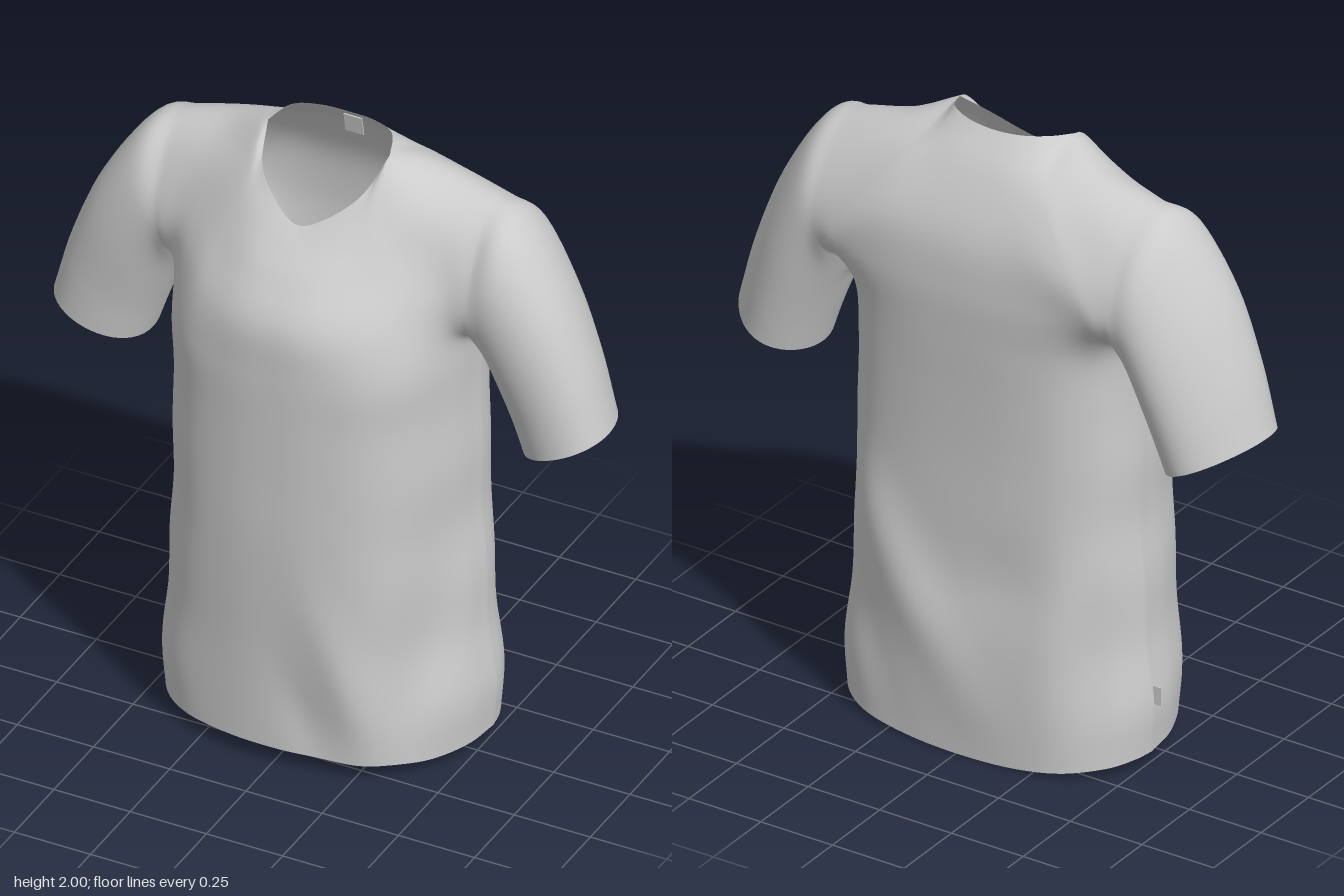
import * as THREE from 'three';
import { mergeVertices } from 'three/addons/utils/BufferGeometryUtils.js';

const V = (x, y, z) => new THREE.Vector3(x, y, z);
const STEP = 6; // subdivisions between neighbouring control points

// Smooth curve through the control points, sampled evenly
const spline = (pts) => new THREE.CatmullRomCurve3(pts, false, 'catmullrom', 0.5).getPoints((pts.length - 1) * STEP);

// Mirrors a half row (centre to side) into a full row running from -x to +x
const fullRow = (half) => [
  ...half.slice(1).reverse().map(([x, y, z]) => V(-x, y, z)),
  ...half.map((p) => V(...p)),
];

// Top row: the neckline meets the straight shoulder lines at a corner (fourth point from the centre)
const topRow = (row) => [
  ...spline(row.slice(0, 3)).slice(0, -1), ...spline(row.slice(2, 9)), ...spline(row.slice(8)).slice(1),
];

// Panel through half rows, ending at the neck and shoulder line; `over` is the row
// beyond the shoulder on the other panel, which rounds the shoulder off
function panel(halfRows, over) {
  const top = halfRows.at(-1), below = halfRows.at(-2);
  const beyond = top.map((p, k) => (k < 3 ? p.map((v, i) => 2 * v - below[k][i]) : over[k]));
  const rows = [...halfRows.slice(0, -1).map((r) => spline(fullRow(r))), topRow(fullRow(top)), spline(fullRow(beyond))];
  const columns = rows[0].map((_, c) => spline(rows.map((row) => row[c])).slice(0, -STEP));
  return columns[0].map((_, r) => columns.map((col) => col[r]));
}

// Trunk below the armpits: height, half width, front depth, back depth
const TRUNK = [
  [0.04, 0.508, 0.34, -0.348], [0.2, 0.517, 0.343, -0.355], [0.4, 0.492, 0.35, -0.35],
  [0.6, 0.488, 0.36, -0.335], [0.8, 0.47, 0.368, -0.333], [1.0, 0.474, 0.37, -0.333],
  [1.2, 0.468, 0.373, -0.34], [1.38, 0.475, 0.375, -0.35],
];
const SIDE_Z = -0.085;
const trunkRows = (xs, ts, depth, hem) => TRUNK.map((row, i) => xs.map((fx, k) => [
  fx * row[1],
  i === 0 ? THREE.MathUtils.lerp(hem, row[0], fx * fx) : row[0],
  THREE.MathUtils.lerp(SIDE_Z, row[depth], ts[k]),
]));

// Chest and shoulder blades: the outer ends form the armhole, the top row the neck and shoulder line
const CHEST = [
  [[0, 1.54, 0.365], [0.13, 1.54, 0.35], [0.27, 1.54, 0.285], [0.37, 1.54, 0.19], [0.44, 1.53, 0.112], [0.495, 1.51, 0.07]],
  [[0, 1.66, 0.295], [0.12, 1.67, 0.272], [0.25, 1.68, 0.2], [0.35, 1.69, 0.132], [0.43, 1.68, 0.097], [0.51, 1.66, 0.087]],
  [[0, 1.735, 0.228], [0.1, 1.755, 0.203], [0.19, 1.805, 0.142], [0.24, 1.875, 0.075], [0.37, 1.855, 0.03], [0.51, 1.82, 0.012]],
  [[0, 1.79, 0.17], [0.085, 1.825, 0.14], [0.165, 1.895, 0.078], [0.2, 1.983, -0.025], [0.34, 1.927, -0.1], [0.5, 1.885, -0.1]],
];
const BLADES = [
  [[0, 1.55, -0.355], [0.18, 1.55, -0.35], [0.32, 1.55, -0.338], [0.41, 1.54, -0.328], [0.46, 1.53, -0.318], [0.495, 1.51, -0.295]],
  [[0, 1.72, -0.332], [0.14, 1.72, -0.33], [0.27, 1.72, -0.33], [0.37, 1.7, -0.327], [0.44, 1.675, -0.322], [0.51, 1.65, -0.317]],
  [[0, 1.89, -0.245], [0.1, 1.89, -0.243], [0.18, 1.89, -0.235], [0.24, 1.89, -0.225], [0.37, 1.855, -0.225], [0.51, 1.81, -0.23]],
  [[0, 1.995, -0.155], [0.09, 1.998, -0.145], [0.165, 2, -0.105], [0.2, 1.983, -0.025], [0.34, 1.927, -0.1], [0.5, 1.885, -0.1]],
];

// Cloth folds: soft ridges along a line, [x1, y1, x2, y2, radius, height]
const FRONT_FOLDS = [
  [0.16, 0.58, 0.32, 0.08, 0.08, 0.022], [0.46, 0.85, 0.37, 0.12, 0.07, -0.055],
  [0.05, 0.35, 0.15, 0.02, 0.07, -0.012], [-0.36, 0.5, -0.42, 0.05, 0.09, 0.015],
];
const BACK_FOLDS = [
  [0.42, 0.85, 0.0, 0.25, 0.1, -0.03], [-0.44, 0.8, -0.28, 0.3, 0.08, -0.012],
  [-0.2, 0.75, -0.08, 0.45, 0.1, 0.01], [0.42, 0.5, 0.24, 0.1, 0.08, 0.012],
  [-0.46, 0.7, -0.44, 0.05, 0.1, 0.035],
];
function addFolds(grid, folds) {
  for (const row of grid) row.forEach((p, c) => {
    const u = (2 * c) / (row.length - 1) - 1;
    let dz = 0;
    for (const [x1, y1, x2, y2, radius, height] of folds) {
      const dx = x2 - x1, dy = y2 - y1, length = Math.hypot(dx, dy);
      const px = p.x - (x1 + x2) / 2, py = p.y - (y1 + y2) / 2;
      const along = (px * dx + py * dy) / length / (length / 2);
      const across = (px * dy - py * dx) / length / radius;
      dz += height * Math.exp(-along * along - across * across);
    }
    p.z += dz * (1 - u ** 8);
  });
}

// Sleeve rings: underarm point, outer point, back z, front z, forward turn of the outer point
const SLEEVE = [
  [0.52, 1.345, 0.61, 1.84, -0.322, 0.097, 0.15], [0.555, 1.26, 0.745, 1.64, -0.318, 0.094, 0.26],
  [0.59, 1.165, 0.84, 1.41, -0.305, 0.08, 0.3], [0.62, 1.075, 0.9, 1.2, -0.29, 0.07, 0.3],
];
function sleeveGrid(armhole, side) {
  const n = armhole.length - 1;
  return armhole.map((start, i) => {
    const a = (i / n) * Math.PI * 2;
    return spline([start, ...SLEEVE.map(([x1, y1, x2, y2, z1, z2, turn]) => {
      const k = (1 - Math.cos(a + turn * (1 - Math.cos(a)) / 2)) / 2;
      return V(
        side * THREE.MathUtils.lerp(x1, x2, k),
        THREE.MathUtils.lerp(y1, y2, k),
        (z1 + z2) / 2 + Math.sin(a) * (z2 - z1) / 2,
      );
    })]);
  });
}

// Joins several grids into one welded, smooth geometry
function weld(grids) {
  const positions = [], index = [];
  for (const { grid, flip } of grids) {
    const base = positions.length / 3, w = grid[0].length;
    grid.forEach((row) => row.forEach((p) => positions.push(p.x, p.y, p.z)));
    for (let r = 0; r < grid.length - 1; r++) for (let c = 0; c < w - 1; c++) {
      const a = base + r * w + c, b = a + 1, d = a + w, e = d + 1;
      index.push(...(flip ? [a, d, b, b, d, e] : [a, b, d, b, e, d]));
    }
  }
  const geometry = new THREE.BufferGeometry();
  geometry.setAttribute('position', new THREE.Float32BufferAttribute(positions, 3));
  geometry.setIndex(index);
  const welded = mergeVertices(geometry, 1e-5);
  welded.computeVertexNormals();
  return welded;
}

export function createModel() {
  const group = new THREE.Group();
  group.name = 'shirt';
  const cloth = new THREE.MeshStandardMaterial({ color: 0xcccccc, side: THREE.DoubleSide });

  // Front and back panels
  const front = panel([
    ...trunkRows([0, 0.3, 0.6, 0.82, 0.96, 1], [1, 0.975, 0.87, 0.65, 0.31, 0], 2, 0.058), ...CHEST,
  ], BLADES[2]);
  const back = panel([
    ...trunkRows([0, 0.38, 0.68, 0.88, 0.97, 1], [1, 0.97, 0.85, 0.59, 0.27, 0], 3, 0), ...BLADES,
  ], CHEST[2]);
  addFolds(front, FRONT_FOLDS);
  addFolds(back, BACK_FOLDS);

  // Side seams up to the armpits
  const armpit = (TRUNK.length - 1) * STEP, last = front[0].length - 1;
  for (let r = 0; r <= armpit; r++) for (const c of [0, last]) {
    front[r][c].lerp(back[r][c], 0.5);
    back[r][c].copy(front[r][c]);
  }

  // Sleeves grow out of the armhole loops
  const grids = [{ grid: front, flip: false }, { grid: back, flip: true }];
  for (const side of [1, -1]) {
    const c = side > 0 ? last : 0;
    const edge = (sheet) => sheet.slice(armpit).map((row) => row[c]);
    const armhole = [...edge(front), ...edge(back).reverse().slice(1)];
    grids.push({ grid: sleeveGrid(armhole, side), flip: side < 0 });
  }
  const shell = new THREE.Mesh(weld(grids), cloth);
  shell.name = 'bodyAndSleeves';
  group.add(shell);

  // Small sewn-in tags
  const addTag = (name, size, position, tilt) => {
    const tag = new THREE.Mesh(new THREE.BoxGeometry(...size), cloth);
    tag.name = name;
    tag.position.set(...position);
    tag.rotation.x = tilt;
    group.add(tag);
  };
  addTag('neckTag', [0.06, 0.066, 0.004], [0, 1.935, -0.182], 0.2);
  addTag('sideTag', [0.04, 0.06, 0.004], [-0.52, 0.23, -0.08], 0);

  return group;
}
